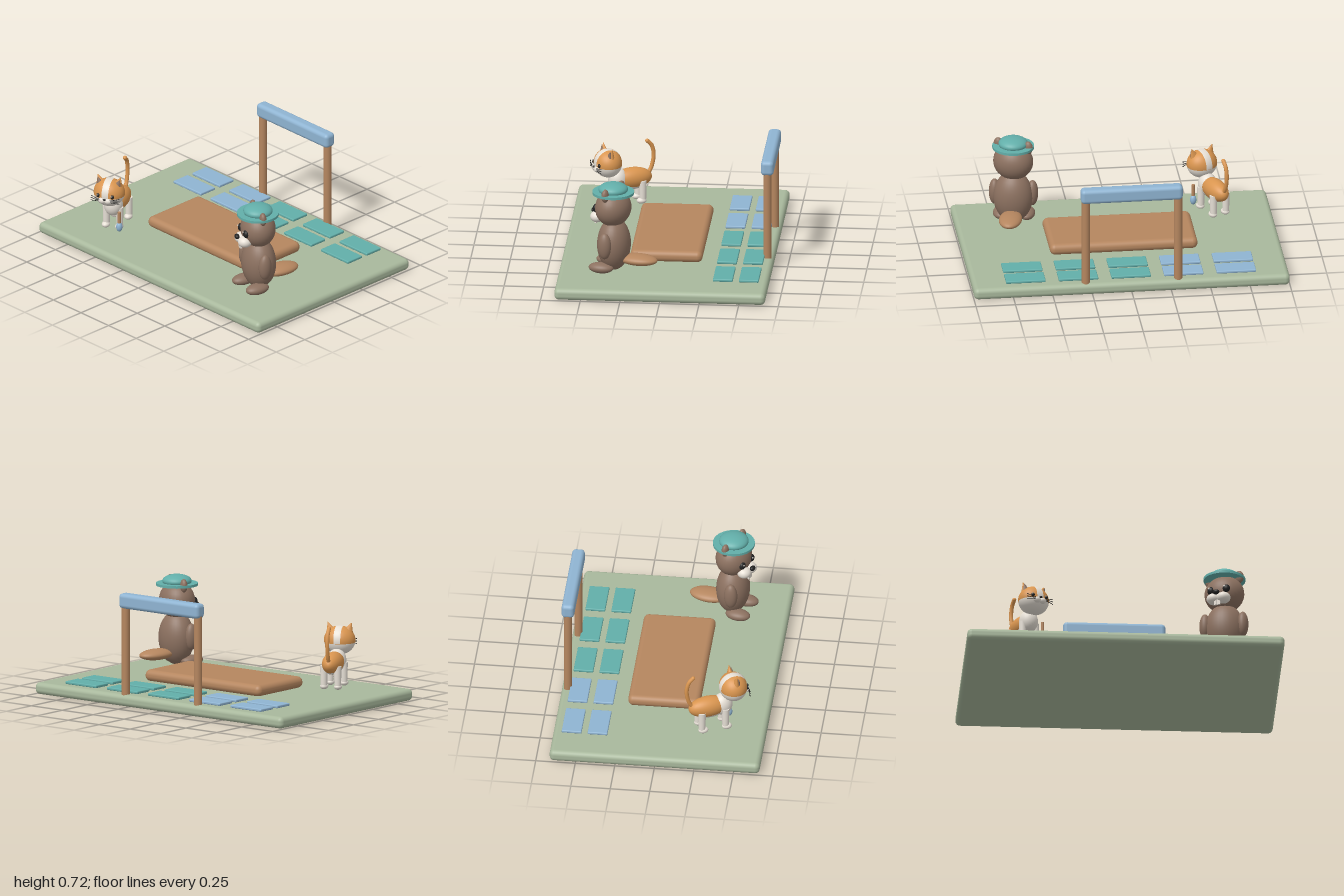
import * as THREE from 'three';
import { RoundedBoxGeometry } from 'three/addons/geometries/RoundedBoxGeometry.js';

const colour = (name, color) => {
  const m = new THREE.MeshStandardMaterial({ color });
  m.name = name;
  return m;
};

export function createModel() {
  const green = colour('sage green', 0xa8b89c);
  const wood = colour('wood', 0xb5865f);
  const blue = colour('soft blue', 0x8fb4d2);
  const teal = colour('teal', 0x62aea9);
  const brown = colour('fur brown', 0x8c7160);
  const orange = colour('ginger', 0xd9954f);
  const cream = colour('cream', 0xe6dfd5);
  const black = colour('black', 0x222222);

  const model = new THREE.Group();
  model.name = 'playgroundScene';

  const add = (parent, name, geo, mat, x = 0, y = 0, z = 0) => {
    const mesh = new THREE.Mesh(geo, mat);
    mesh.name = name;
    mesh.position.set(x, y, z);
    parent.add(mesh);
    return mesh;
  };
  const box = (name, mat, w, h, d, r, x, y, z) =>
    add(model, name, new RoundedBoxGeometry(w, h, d, 4, r), mat, x, y, z);
  const ball = (parent, name, mat, rx, ry, rz, x, y, z) => {
    const mesh = add(parent, name, new THREE.SphereGeometry(1, 32, 20), mat, x, y, z);
    mesh.scale.set(rx, ry, rz);
    return mesh;
  };
  const group = (parent, name, x, y, z, turn) => {
    const g = new THREE.Group();
    g.name = name;
    g.position.set(x, y, z);
    g.rotation.y = turn;
    parent.add(g);
    return g;
  };
  const tube = (parent, name, mat, r, pts) => add(parent, name, new THREE.TubeGeometry(
    new THREE.CatmullRomCurve3(pts.map(p => new THREE.Vector3(...p))), 24, r, 10), mat);

  // Ground slab, platform and tiles
  box('base', green, 2, 0.075, 1.33, 0.03, 0, 0.0375, 0);
  box('platform', wood, 0.935, 0.073, 0.455, 0.034, 0, 0.119, 0);
  for (let i = 0; i < 5; i++) {
    for (const z of [-0.547, -0.383]) {
      box('tile', i < 2 ? blue : teal, 0.25, 0.018, 0.125, 0.006, (i - 2) / 3, 0.089, z);
    }
  }

  // Gate
  for (const x of [-0.295, 0.29]) {
    add(model, 'gatePost', new THREE.CylinderGeometry(0.026, 0.026, 0.57, 24), wood, x, 0.355, -0.625);
  }
  box('gateBeam', blue, 0.645, 0.095, 0.08, 0.025, 0, 0.672, -0.625);

  buildBeaver();
  buildCat();
  return model;

  function buildBeaver() {
    const beaver = group(model, 'beaver', 0.64, 0, 0.315, -0.22);
    ball(beaver, 'body', brown, 0.125, 0.17, 0.105, 0, 0.265, 0);
    ball(beaver, 'tail', wood, 0.073, 0.035, 0.125, 0, 0.175, -0.16);
    for (const s of [-1, 1]) {
      ball(beaver, 'arm', brown, 0.036, 0.085, 0.043, s * 0.12, 0.283, 0.025);
      ball(beaver, 'foot', brown, 0.05, 0.034, 0.08, s * 0.083, 0.125, 0.06);
    }

    // Head
    const head = group(beaver, 'head', 0, 0, 0.005, -0.23);
    ball(head, 'skull', brown, 0.128, 0.118, 0.11, 0, 0.505, 0);
    ball(head, 'nose', black, 0.022, 0.016, 0.016, 0, 0.466, 0.139);
    for (const s of [-1, 1]) {
      ball(head, 'ear', brown, 0.03, 0.043, 0.022, s * 0.1, 0.61, 0);
      ball(head, 'eye', black, 0.024, 0.026, 0.02, s * 0.052, 0.5, 0.095);
      ball(head, 'eyeGlint', cream, 0.006, 0.006, 0.004, s * 0.052 - 0.008, 0.511, 0.113);
      ball(head, 'muzzle', cream, 0.045, 0.036, 0.045, s * 0.033, 0.438, 0.097);
      add(head, 'tooth', new THREE.BoxGeometry(0.018, 0.035, 0.01), cream, s * 0.011, 0.403, 0.118);
    }

    // Cap with a flat brim
    add(head, 'capBrim', new THREE.CylinderGeometry(0.132, 0.132, 0.016, 40), teal, 0, 0.607, 0);
    ball(head, 'capCrown', teal, 0.093, 0.042, 0.093, 0, 0.627, 0);
  }

  function buildCat() {
    const cat = group(model, 'cat', -0.63, 0, 0.32, 0.42);
    ball(cat, 'body', orange, 0.064, 0.068, 0.13, 0, 0.25, -0.02);
    ball(cat, 'chest', cream, 0.06, 0.075, 0.062, 0, 0.25, 0.075);
    ball(cat, 'belly', cream, 0.052, 0.05, 0.11, 0, 0.225, -0.01);
    tube(cat, 'tail', orange, 0.013,
      [[0, 0.26, -0.12], [0, 0.31, -0.148], [0, 0.39, -0.163], [0, 0.455, -0.148], [0, 0.485, -0.12]]);
    ball(cat, 'tailTip', orange, 0.013, 0.013, 0.013, 0, 0.485, -0.12);
    for (const x of [-0.045, 0.045]) {
      for (const z of [-0.075, 0.08]) {
        add(cat, 'leg', new THREE.CylinderGeometry(0.024, 0.021, 0.13, 20), cream, x, 0.175, z);
        ball(cat, 'paw', cream, 0.026, 0.02, 0.032, x, 0.108, z + 0.008);
      }
    }

    // Two-tone head with a stripe over the crown
    const head = group(cat, 'head', 0, 0.368, 0.143, 0.04);
    const split = 1.72;
    const skull = (name, mat, start, length) => {
      const m = add(head, name, new THREE.SphereGeometry(1, 36, 20, 0, Math.PI * 2, start, length), mat);
      m.scale.set(0.1, 0.091, 0.088);
    };
    skull('headTop', orange, 0, split);
    skull('jaw', cream, split, Math.PI - split);
    const stripe = new THREE.SphereGeometry(1.012, 32, 6, 1.4, Math.PI + 0.3, Math.PI / 2 - 0.22, 0.44);
    stripe.rotateZ(Math.PI / 2);
    stripe.scale(0.1, 0.091, 0.088);
    add(head, 'headStripe', stripe, cream);

    // Face
    ball(head, 'nose', black, 0.01, 0.007, 0.007, 0, -0.012, 0.097);
    for (const s of [-1, 1]) {
      const ear = add(head, 'ear', new THREE.ConeGeometry(0.033, 0.065, 20), orange, s * 0.066, 0.084, 0);
      const inner = add(head, 'innerEar', new THREE.ConeGeometry(0.022, 0.045, 20), brown, s * 0.067, 0.08, 0.012);
      for (const e of [ear, inner]) {
        e.rotation.z = -s * 0.35;
        e.scale.z = 0.65;
      }
      ball(head, 'cheek', cream, 0.026, 0.02, 0.02, s * 0.019, -0.026, 0.08);
      ball(head, 'eye', black, 0.012, 0.014, 0.009, s * 0.047, 0.004, 0.077);
      ball(head, 'eyeGlint', cream, 0.004, 0.004, 0.003, s * 0.047 - 0.004, 0.009, 0.085);
      for (const k of [-1, 0, 1]) {
        tube(head, 'whisker', black, 0.002,
          [[s * 0.034, -0.022 + k * 0.006, 0.092], [s * 0.065, -0.02 + k * 0.011, 0.088], [s * 0.095, -0.018 + k * 0.017, 0.08]]);
      }
    }

    // Brush standing beside the front paw
    const brush = group(model, 'brush', -0.513, 0, 0.42, 0);
    add(brush, 'brushHandle', new THREE.CylinderGeometry(0.01, 0.01, 0.09, 16), wood, 0, 0.19, 0);
    ball(brush, 'brushHead', blue, 0.02, 0.032, 0.02, 0, 0.132, 0);
  }
}
